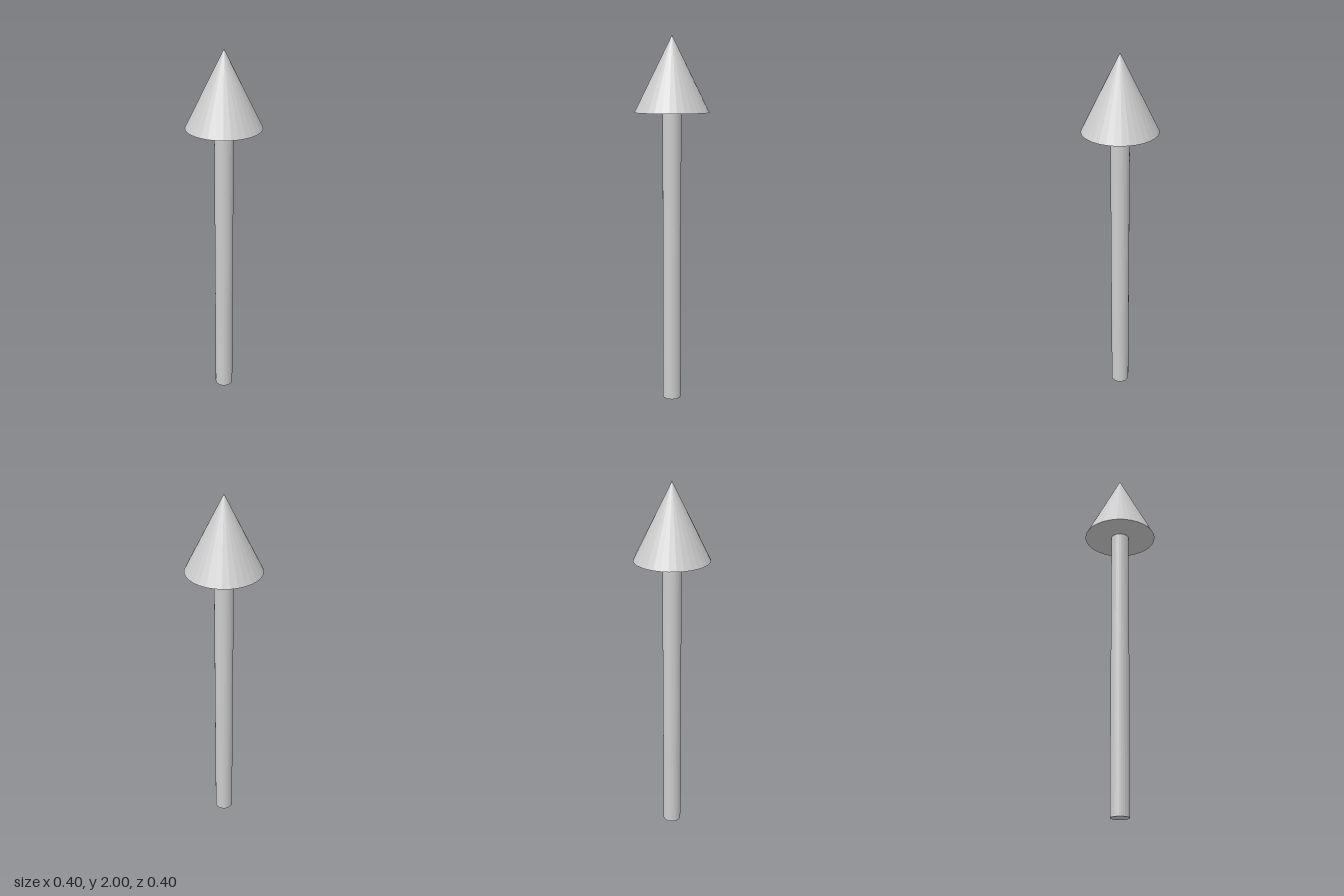
import * as THREE from 'three';

const SIDES = 32;

export function createModel() {
  const group = new THREE.Group();
  group.name = 'arrow';
  const material = new THREE.MeshStandardMaterial({ color: 0xcccccc, flatShading: true });

  const addPart = (name, geometry, y) => {
    const mesh = new THREE.Mesh(geometry, material);
    mesh.name = name;
    mesh.position.y = y;
    group.add(mesh);
  };

  // Slim round shaft standing on the ground
  addPart('shaft', new THREE.CylinderGeometry(0.05, 0.05, 1.6, SIDES), 0.8);

  // Pointed head with a flat underside
  addPart('arrowhead', new THREE.ConeGeometry(0.2, 0.4, SIDES), 1.8);

  return group;
}
